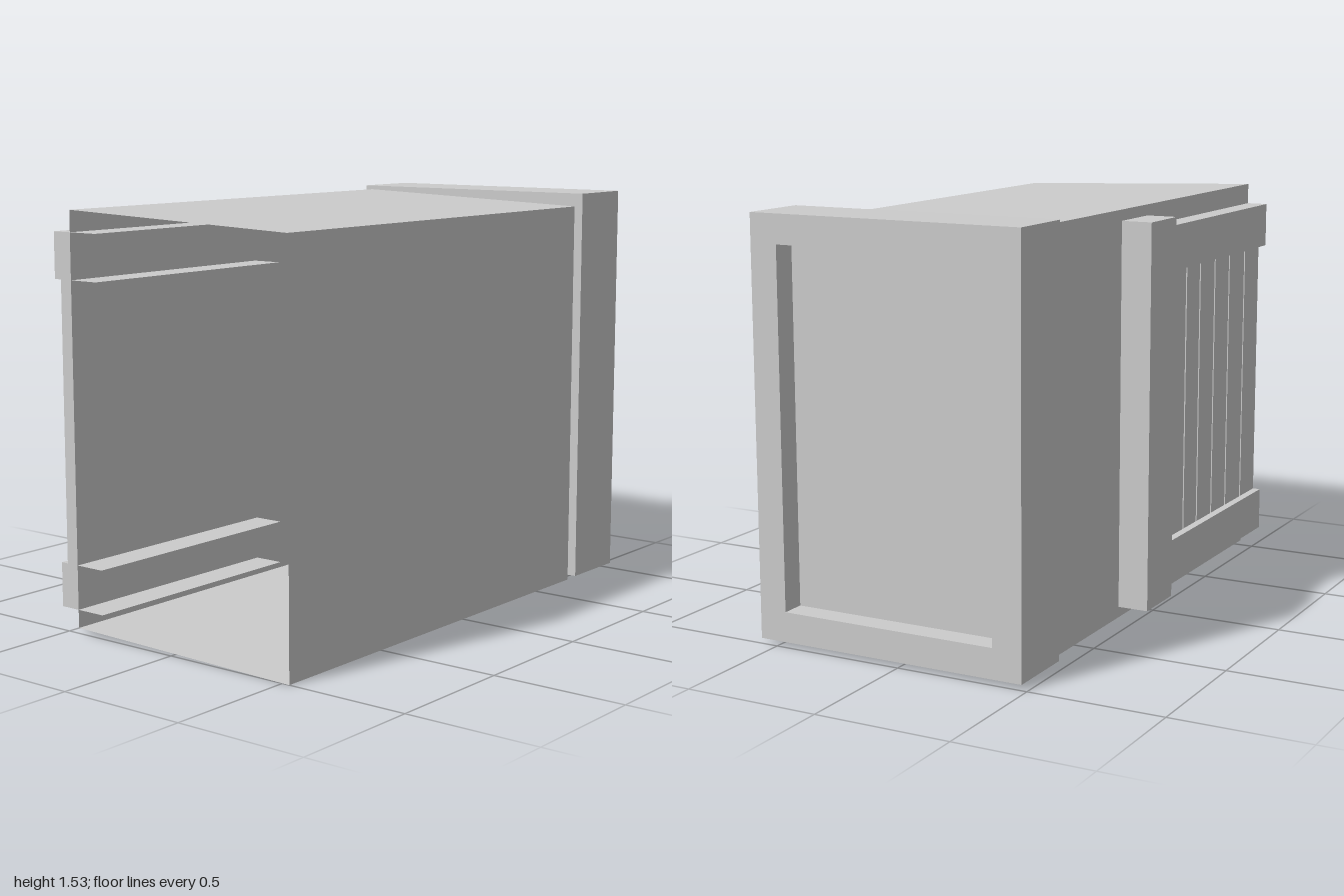
import * as THREE from 'three';

const material = new THREE.MeshStandardMaterial({ color: 0xcccccc, flatShading: true, side: THREE.DoubleSide });

function add(group, name, geometry) {
  const mesh = new THREE.Mesh(geometry, material);
  mesh.name = name;
  group.add(mesh);
  return mesh;
}

// Box given by its lower and upper corners
function box(group, name, [x0, y0, z0], [x1, y1, z1]) {
  const mesh = add(group, name, new THREE.BoxGeometry(x1 - x0, y1 - y0, z1 - z0));
  mesh.position.set((x0 + x1) / 2, (y0 + y1) / 2, (z0 + z1) / 2);
  return mesh;
}

// Four-walled sleeve along x, open at both ends; section corners are [z, y]
function sleeve(section, x0, x1) {
  const pos = [];
  section.forEach(([z, y], i) => {
    const [z2, y2] = section[(i + 1) % section.length];
    pos.push(x0, y, z, x1, y, z, x1, y2, z2, x0, y, z, x1, y2, z2, x0, y2, z2);
  });
  const geometry = new THREE.BufferGeometry();
  geometry.setAttribute('position', new THREE.Float32BufferAttribute(pos, 3));
  geometry.computeVertexNormals();
  return geometry;
}

// Rectangle in the (-z, y) plane
function rectangle(path, z0, z1, y0, y1) {
  path.moveTo(-z1, y0);
  path.lineTo(-z0, y0);
  path.lineTo(-z0, y1);
  path.lineTo(-z1, y1);
  path.closePath();
  return path;
}

export function createModel() {
  const model = new THREE.Group();
  model.name = 'container';

  // Body: slightly sloped sleeve, open at the far end
  add(model, 'body', sleeve([[0.53, 0], [0.53, 1.48], [-0.45, 1.515], [-0.45, 0.02]], -1, 0.73));

  // End cap: solid back with a raised frame around a recessed panel
  box(model, 'endCapBase', [0.73, 0.02, -0.48], [0.91, 1.53, 0.565]);
  const frame = rectangle(new THREE.Shape(), -0.48, 0.565, 0.02, 1.53);
  frame.holes.push(rectangle(new THREE.Path(), -0.37, 0.46, 0.13, 1.425));
  const frameGeometry = new THREE.ExtrudeGeometry(frame, { depth: 0.09, bevelEnabled: false });
  frameGeometry.rotateY(Math.PI / 2);
  add(model, 'endCapFrame', frameGeometry).position.x = 0.91;

  // Sliding door on the back: post, two rails and planks
  const door = new THREE.Group();
  door.name = 'door';
  model.add(door);
  box(door, 'doorPost', [-0.02, 0.06, -0.565], [0.195, 1.475, -0.45]);

  for (const [y0, y1] of [[0.087, 0.25], [1.27, 1.437]]) {
    box(door, 'doorRail', [-1, y0, -0.53], [-0.02, y1, -0.45]);
    // Thin rail flanges continuing inside the body
    for (const y of [y0, y1]) {
      const flange = add(door, 'railFlange', new THREE.PlaneGeometry(0.98, 0.12).rotateX(-Math.PI / 2));
      flange.position.set(-0.51, y, -0.39);
    }
  }

  // Planks of uneven width with narrow grooves between them
  const edges = [-1, -0.85, -0.69, -0.545, -0.4, -0.27, -0.134, 0];
  for (let i = 0; i < edges.length - 1; i++) {
    const gap = i === 0 ? 0 : 0.005;
    box(door, 'doorPlank', [edges[i] + gap, 0.25, -0.5], [edges[i + 1] - 0.005, 1.27, -0.45]);
  }
  return model;
}
